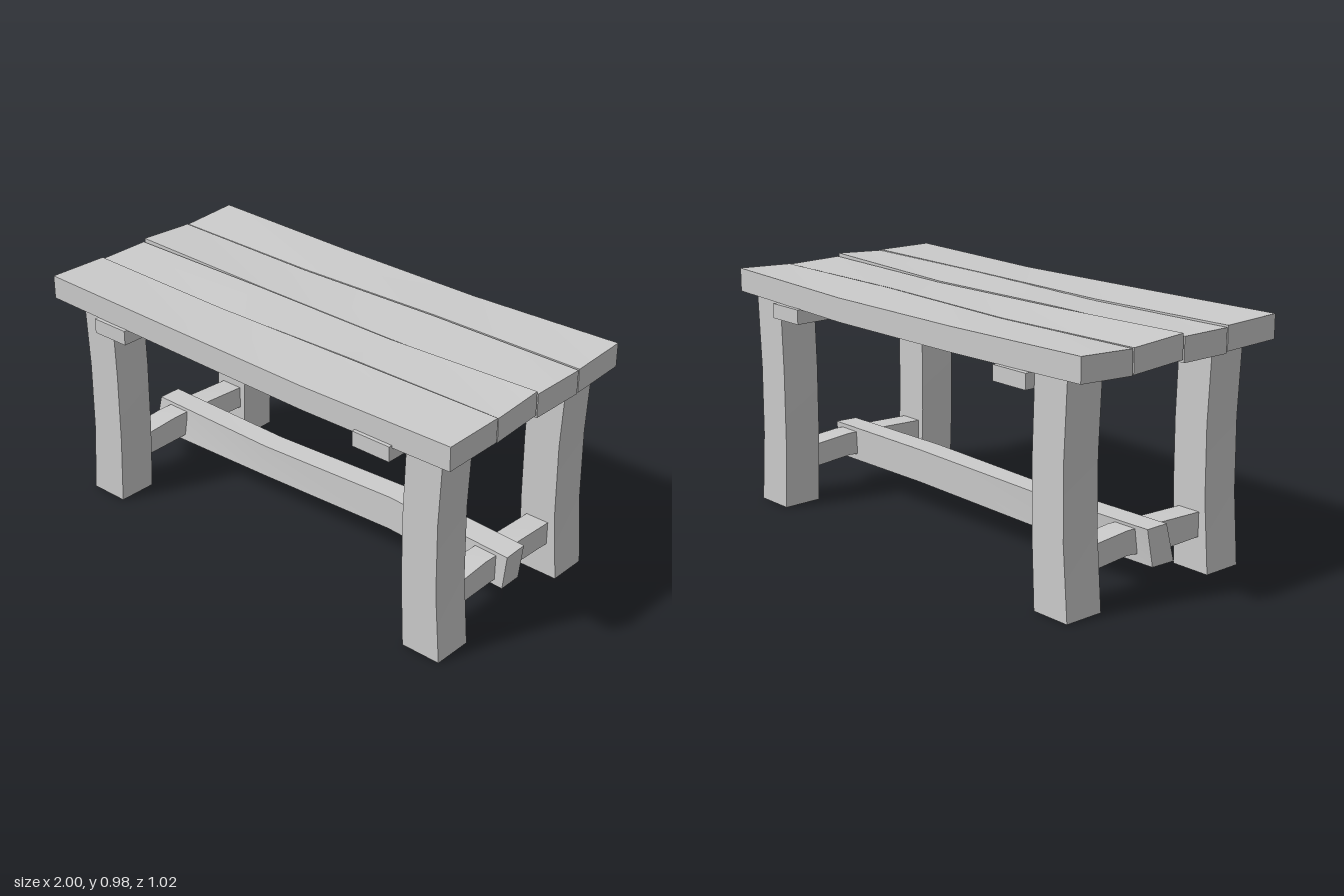
import * as THREE from 'three';
import { toCreasedNormals } from 'three/addons/utils/BufferGeometryUtils.js';

const material = new THREE.MeshStandardMaterial({ color: 0xcccccc });
const openMaterial = new THREE.MeshStandardMaterial({ color: 0xcccccc, side: THREE.DoubleSide });

// Hewn beam: joins four-cornered rings, corners counterclockwise seen from the last ring
function beam(name, rings, capped = true) {
  const index = [];
  for (let i = 0; i < rings.length - 1; i++) {
    for (let j = 0; j < 4; j++) {
      const k = (j + 1) % 4;
      const a = i * 4 + j, b = i * 4 + k, c = b + 4, d = a + 4;
      index.push(a, b, c, a, c, d);
    }
  }
  if (capped) {
    const e = (rings.length - 1) * 4;
    index.push(0, 2, 1, 0, 3, 2, e, e + 1, e + 2, e, e + 2, e + 3);
  }
  const geometry = new THREE.BufferGeometry();
  geometry.setAttribute('position', new THREE.Float32BufferAttribute(rings.flat(2), 3));
  geometry.setIndex(index);
  const mesh = new THREE.Mesh(toCreasedNormals(geometry, 0.6), capped ? material : openMaterial);
  mesh.name = name;
  return mesh;
}

// Rings across each axis
const ringY = (y, x0, x1, z0, z1) => [[x0, y, z1], [x1, y, z1], [x1, y, z0], [x0, y, z0]];
const ringZ = (z, x0, x1, y0, y1) => [[x0, y0, z], [x1, y0, z], [x1, y1, z], [x0, y1, z]];

export function createModel() {
  const group = new THREE.Group();

  // Tabletop planks: z range, then front and back top heights at four stations
  const stations = [-1, -0.33, 0.33, 1];
  const planks = [
    { z0: 0.237, z1: 0.495, tops: [[0.977, 0.972], [0.965, 0.96], [0.955, 0.965], [0.965, 0.968]] },
    { z0: 0.01, z1: 0.232, tops: [[0.965, 0.967], [0.955, 0.967], [0.965, 0.96], [0.965, 0.98]] },
    { z0: -0.242, z1: 0.003, tops: [[0.98, 0.967], [0.965, 0.957], [0.957, 0.967], [0.967, 0.965]] },
    { z0: -0.493, z1: -0.248, tops: [[0.965, 0.978], [0.957, 0.965], [0.968, 0.962], [0.967, 0.98]] },
  ];
  for (const { z0, z1, tops } of planks) {
    group.add(beam('topPlank', stations.map((x, i) => {
      const [front, back] = tops[i];
      return [[x, front - 0.096, z1], [x, back - 0.096, z0], [x, back, z0], [x, front, z1]];
    })));
  }

  for (const side of [-1, 1]) {
    // Bowed legs, open at the ends: height, then inner and outer x
    const bow = [[0, 0.757, 0.926], [0.29, 0.744, 0.903], [0.58, 0.743, 0.9], [0.878, 0.753, 0.914]];
    for (const [z0, z1] of [[0.254, 0.42], [-0.471, -0.305]]) {
      group.add(beam('leg', bow.map(([y, inner, outer]) => {
        const xs = [side * inner, side * outer].sort((a, b) => a - b);
        return ringY(y, xs[0], xs[1], z0, z1);
      }), false));
    }

    // Cleat under the planks
    const cleat = new THREE.Mesh(new THREE.BoxGeometry(0.168, 0.06, 1.02), material);
    cleat.name = 'cleat';
    cleat.position.set(side * 0.665, 0.845, 0);
    group.add(cleat);

    // Cross stretcher between the front and back legs
    const x = side * 0.825;
    group.add(beam('crossStretcher', [
      ringZ(-0.31, x - 0.05, x + 0.05, 0.14, 0.236),
      ringZ(-0.12, x - 0.045, x + 0.055, 0.153, 0.249),
      ringZ(0.08, x - 0.055, x + 0.045, 0.137, 0.245),
      ringZ(0.26, x - 0.05, x + 0.05, 0.138, 0.236),
    ]));
  }

  // Long stretcher, slightly twisted and curved
  group.add(beam('longStretcher', [
    [[-0.95, 0.116, 0.04], [-0.945, 0.116, -0.065], [-0.935, 0.262, -0.085], [-0.935, 0.262, 0.015]],
    [[-0.32, 0.116, 0.02], [-0.32, 0.118, -0.085], [-0.32, 0.255, -0.085], [-0.32, 0.254, 0.015]],
    [[0.34, 0.133, 0.01], [0.34, 0.133, -0.095], [0.34, 0.274, -0.1], [0.34, 0.274, 0.005]],
    [[0.91, 0.116, 0.026], [0.91, 0.118, -0.075], [0.925, 0.264, -0.08], [0.925, 0.26, 0.024]],
  ]));

  return group;
}
